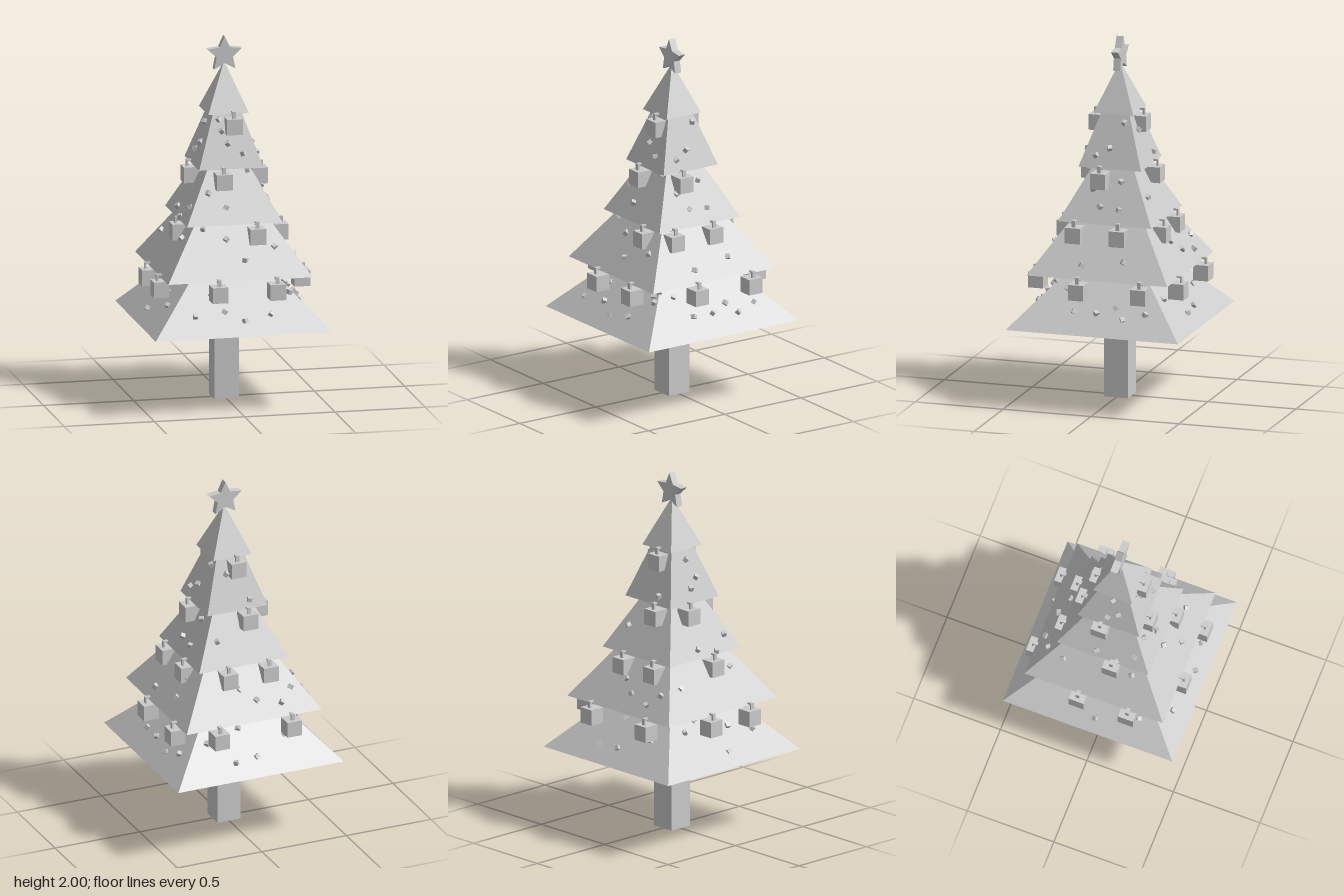
import * as THREE from 'three';

// Tiers from bottom to top: base height, half width of the square base, apex height
const TIERS = [
  [0.44, 0.49, 0.965],
  [0.73, 0.4, 1.32],
  [1.01, 0.265, 1.52],
  [1.3, 0.178, 1.82],
  [1.59, 0.113, 1.86],
];

// Hanging ornaments per side: [tier whose edge they hang from, position along the edge]
const ORNAMENTS = {
  front: [[1, -0.12], [1, 0.2], [2, 0.12], [3, -0.045], [4, 0.025]],
  back: [[1, -0.22], [1, 0.207], [2, -0.143], [2, 0.096], [3, -0.06], [4, -0.02]],
  right: [[1, -0.085], [1, 0.2], [2, 0.055], [3, -0.042]],
  left: [[1, -0.245], [1, 0.107], [2, -0.08], [2, 0.17], [3, 0.055]],
};

// Small lights per side: [position along the side, height]
const LIGHTS = {
  front: [[-0.05, 1.56], [-0.04, 1.5], [-0.01, 1.435], [0.07, 1.38], [0.1, 1.28],
    [-0.13, 1.175], [-0.04, 1.1], [-0.17, 0.99], [-0.05, 0.935], [0.21, 0.89], [0.04, 0.83],
    [-0.14, 0.64], [-0.25, 0.545], [-0.085, 0.56], [0.02, 0.515], [0.17, 0.54],
    [0.25, 0.66], [0.29, 0.635]],
  back: [[-0.25, 0.86], [-0.18, 0.8], [-0.04, 0.83], [0.117, 0.52], [-0.01, 0.53],
    [0.04, 0.89], [0.13, 1.15], [-0.075, 1.35], [0.25, 0.62], [-0.2, 0.6], [0.05, 0.66],
    [0.04, 1.5]],
  left: [[-0.06, 1.545], [0.01, 1.41], [0.085, 1.37], [-0.06, 1.23], [0.095, 1.185],
    [0.04, 1.1], [-0.07, 1.09], [0.16, 0.92], [-0.11, 0.925], [-0.13, 0.83], [0.1, 0.8],
    [0.2, 0.65], [0.27, 0.685], [0.13, 0.55], [0.005, 0.55], [-0.095, 0.58],
    [-0.15, 0.53], [-0.27, 0.56]],
  right: [[0.02, 0.515], [-0.215, 0.89], [0.17, 1.1], [0.08, 1.03], [-0.04, 1.06],
    [-0.01, 1.38], [0.045, 1.43], [0.1, 0.62], [-0.2, 0.64], [0.25, 0.58], [-0.1, 0.68],
    [0, 1.53], [0.17, 0.93]],
};

const SIDE_ANGLE = { front: 0, left: Math.PI / 2, back: Math.PI, right: -Math.PI / 2 };

export function createModel() {
  const tree = new THREE.Group();
  tree.name = 'decoratedTree';
  const material = new THREE.MeshStandardMaterial({ color: 0xcccccc, flatShading: true });

  const add = (parent, name, geometry, x = 0, y = 0, z = 0) => {
    const mesh = new THREE.Mesh(geometry, material);
    mesh.name = name;
    mesh.position.set(x, y, z);
    parent.add(mesh);
    return mesh;
  };

  // Put an object on a side: u runs along the side, d is the distance from the trunk axis
  const placeOnSide = (object, side, u, y, d) => {
    if (side === 'front') object.position.set(u, y, d);
    else if (side === 'back') object.position.set(u, y, -d);
    else object.position.set(side === 'left' ? d : -d, y, u);
    object.rotation.y = SIDE_ANGLE[side];
  };

  // Square trunk
  add(tree, 'trunk', new THREE.BoxGeometry(0.136, 0.46, 0.136), 0, 0.23, 0);

  // Foliage: stacked square pyramids
  TIERS.forEach(([base, half, apex], i) => {
    const pyramid = new THREE.ConeGeometry(half * Math.SQRT2, apex - base, 4).rotateY(Math.PI / 4);
    add(tree, `foliageTier${i + 1}`, pyramid, 0, (base + apex) / 2, 0);
  });

  // Five-pointed star on the tip
  const starPoints = Array.from({ length: 10 }, (_, i) => {
    const r = i % 2 ? 0.048 : 0.1;
    const a = Math.PI / 2 + (i * Math.PI) / 5;
    return new THREE.Vector2(r * Math.cos(a), r * Math.sin(a));
  });
  const star = new THREE.ExtrudeGeometry(new THREE.Shape(starPoints), { depth: 0.04, bevelEnabled: false });
  add(tree, 'star', star, 0, 1.9, -0.02);

  // Cube ornaments with a hook over the tier edge
  const cube = new THREE.BoxGeometry(0.087, 0.087, 0.087);
  const post = new THREE.BoxGeometry(0.02, 0.04, 0.01);
  const bar = new THREE.BoxGeometry(0.02, 0.01, 0.042);
  const tip = new THREE.BoxGeometry(0.02, 0.022, 0.01);
  for (const [side, list] of Object.entries(ORNAMENTS)) {
    for (const [tier, u] of list) {
      const ornament = new THREE.Group();
      ornament.name = 'ornament';
      add(ornament, 'ornamentCube', cube);
      add(ornament, 'hookPost', post, 0, 0.06, 0.017);
      add(ornament, 'hookBar', bar, 0, 0.075, 0.001);
      add(ornament, 'hookTip', tip, 0, 0.069, -0.015);
      const [base, half] = TIERS[tier];
      placeOnSide(ornament, side, u, base - 0.065, half);
      tree.add(ornament);
    }
  }

  // Small tilted cube lights resting on the slopes
  const light = new THREE.BoxGeometry(0.024, 0.024, 0.024);
  let count = 0;
  for (const [side, list] of Object.entries(LIGHTS)) {
    for (const [u, y] of list) {
      const [base, half, apex] = TIERS.filter((t) => t[0] <= y).pop();
      const distance = (half * (apex - y)) / (apex - base);
      const mesh = add(tree, 'light', light);
      placeOnSide(mesh, side, u, y, distance + 0.008);
      count += 1;
      mesh.rotation.set(Math.sin(count * 2.3), Math.sin(count * 4.1), Math.sin(count * 1.7));
    }
  }
  return tree;
}
